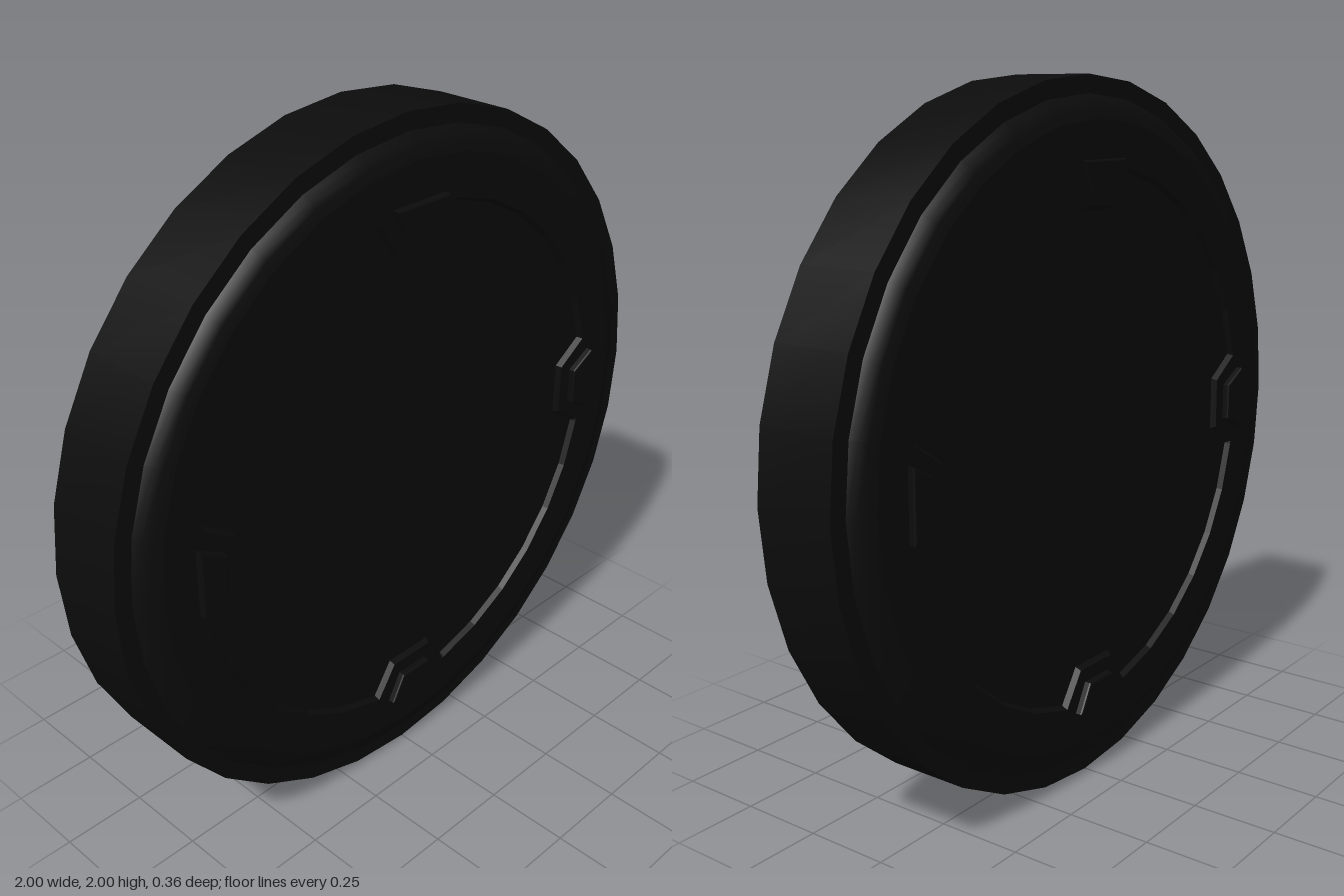
import * as THREE from 'three';
import { toCreasedNormals } from 'three/addons/utils/BufferGeometryUtils.js';

const SIDES = 32;
const FACE = 0.157; // height of the raised face from the middle plane
const RECESS = 0.015;

const polar = (r, a) => new THREE.Vector2(r * Math.cos(a), r * Math.sin(a));

const circlePoints = (r) =>
  Array.from({ length: SIDES }, (_, i) => polar(r, (i / SIDES) * Math.PI * 2));

// Circle with a trapezoid notch pushed inward at each quarter
function notchedOutline() {
  const points = [];
  const notch = [[0.752, -0.14], [0.655, -0.075], [0.655, 0.075], [0.752, 0.14]];
  for (let q = 0; q < 4; q++) {
    const turn = (q * Math.PI) / 2;
    for (const [x, y] of notch) {
      points.push(new THREE.Vector2(x, y).rotateAround(new THREE.Vector2(), turn));
    }
    for (let i = 1; i < 8; i++) points.push(polar(0.765, turn + (i / SIDES) * Math.PI * 2));
  }
  return points;
}

export function createModel() {
  const black = new THREE.MeshStandardMaterial({ color: 0x0c0c0c });
  black.name = 'matte black';

  const model = new THREE.Group();
  model.name = 'disc';

  const add = (parent, name, geometry) => {
    const mesh = new THREE.Mesh(geometry, black);
    mesh.name = name;
    parent.add(mesh);
    return mesh;
  };

  // Outer band with a stepped ledge and rounded shoulders
  const half = [[1, 0.12], [0.95, 0.12], [0.936, 0.137], [0.915, 0.15], [0.885, FACE]];
  const profile = [
    ...half.slice().reverse().map(([r, h]) => new THREE.Vector2(r, -h)),
    ...half.map(([r, h]) => new THREE.Vector2(r, h)),
  ];
  const band = new THREE.LatheGeometry(profile, SIDES).rotateX(Math.PI / 2);
  add(model, 'outerBand', toCreasedNormals(band, 0.7)).position.y = 1;

  // Raised ring with the notched opening
  const ringShape = new THREE.Shape(circlePoints(0.885));
  ringShape.holes.push(new THREE.Path(notchedOutline()));
  const ring = new THREE.ExtrudeGeometry(ringShape, {
    depth: 0.01, bevelThickness: RECESS, bevelSize: 0.01, bevelSegments: 1,
  }).translate(0, 0, FACE - RECESS - 0.01);

  // Trapezoid lug, wide end outward
  const lugShape = new THREE.Shape([
    new THREE.Vector2(0.702, -0.05), new THREE.Vector2(0.774, -0.091),
    new THREE.Vector2(0.774, 0.091), new THREE.Vector2(0.702, 0.05),
  ]);
  const lug = new THREE.ExtrudeGeometry(lugShape, {
    depth: 0.035, bevelThickness: 0.006, bevelSize: 0.006, bevelSegments: 2,
  }).translate(0, 0, 0.137);

  // Both faces are the same, turned about the vertical axis
  for (const [name, turn] of [['frontFace', 0], ['backFace', Math.PI]]) {
    const face = new THREE.Group();
    face.name = name;
    face.position.y = 1;
    face.rotation.y = turn;
    add(face, 'raisedRing', ring);
    add(face, 'recessedPanel', new THREE.CircleGeometry(0.8, SIDES)).position.z = FACE - RECESS;
    for (let q = 0; q < 4; q++) add(face, 'lug', lug).rotation.z = (q * Math.PI) / 2;
    model.add(face);
  }
  return model;
}
